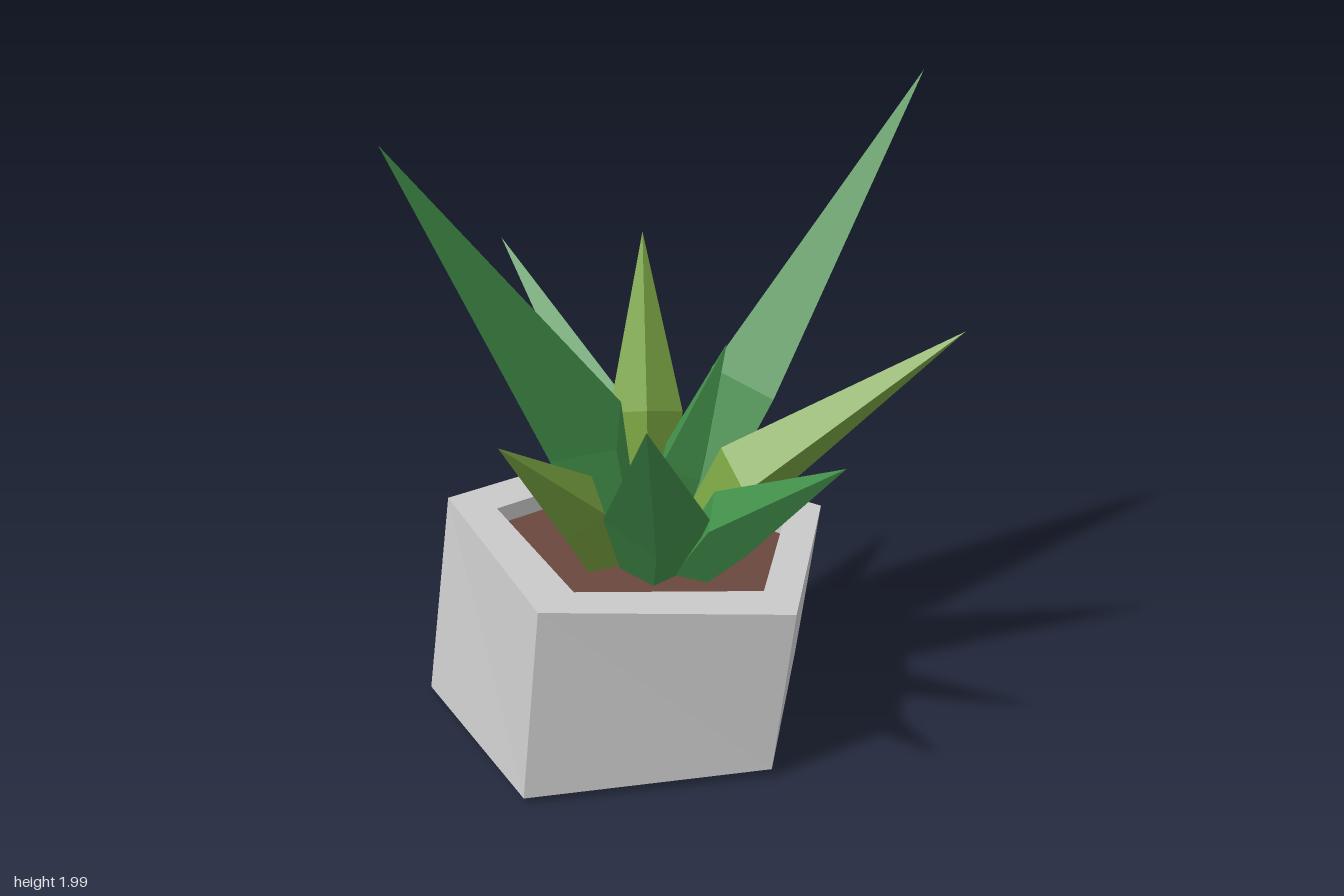
import * as THREE from 'three';

const V = (p) => new THREE.Vector3(...p);

// Skin a stack of rings (clockwise seen from the upper end), optionally closing the ends
function loft(rings, capStart, capEnd) {
  const pos = [];
  const tri = (a, b, c) => pos.push(...a.toArray(), ...b.toArray(), ...c.toArray());
  for (let k = 0; k < rings.length - 1; k++) {
    const lo = rings[k], hi = rings[k + 1], n = lo.length;
    for (let i = 0; i < n; i++) {
      const j = (i + 1) % n;
      tri(lo[i], hi[i], hi[j]);
      tri(lo[i], hi[j], lo[j]);
    }
  }
  const first = rings[0], last = rings[rings.length - 1];
  for (let i = 1; i < first.length - 1; i++) {
    if (capStart) tri(first[0], first[i], first[i + 1]);
    if (capEnd) tri(last[0], last[i + 1], last[i]);
  }
  const geo = new THREE.BufferGeometry();
  geo.setAttribute('position', new THREE.Float32BufferAttribute(pos, 3));
  geo.computeVertexNormals();
  return geo;
}

function part(name, geo, color, extra = {}) {
  const mesh = new THREE.Mesh(geo, new THREE.MeshStandardMaterial({ color, flatShading: true, ...extra }));
  mesh.name = name;
  return mesh;
}

// Diamond-section spike: narrow root, wide belly, pointed tip
function leafGeometry(root, belly, tip, width, thick) {
  const axis = V(tip).sub(V(root)).normalize();
  const side = new THREE.Vector3().crossVectors(axis, new THREE.Vector3(0, 1, 0)).normalize();
  const up = new THREE.Vector3().crossVectors(side, axis);
  const ring = (centre, s) => [0, 1, 2, 3].map((i) => {
    const a = (i * Math.PI) / 2;
    return V(centre)
      .addScaledVector(side, Math.cos(a) * width * s)
      .addScaledVector(up, Math.sin(a) * thick * s);
  });
  return loft([ring(root, 0.6), ring(belly, 1), ring(tip, 0.001)], true, false);
}

export function createModel() {
  const group = new THREE.Group();
  group.name = 'pottedPlant';

  // Five-sided pot, slightly tilted
  const foot = [[-0.61, 0, -0.11], [0.13, 0.02, -0.41], [0.61, 0.03, 0.18], [0.21, 0.02, 0.84], [-0.55, 0.005, 0.66]].map(V);
  const rim = [[-0.54, 0.66, -0.19], [0.18, 0.585, -0.465], [0.66, 0.575, 0.14], [0.24, 0.645, 0.785], [-0.505, 0.7, 0.58]].map(V);
  const rimPlane = (x, z) => 0.625 - 0.09 * x + 0.053 * z;
  const inner = [[-0.39, -0.1], [0.18, -0.29], [0.5, 0.12], [0.2, 0.62], [-0.36, 0.49]]
    .map(([x, z]) => new THREE.Vector3(x, rimPlane(x, z), z));
  const lowered = (d) => inner.map((p) => p.clone().add(new THREE.Vector3(-0.1 * d, -d, 0.08 * d)));
  group.add(part('pot', loft([foot, rim, inner, lowered(0.12)], true, false), 0xcccccc));

  // Soil sunk below the rim
  group.add(part('soil', loft([lowered(0.11), lowered(0.06)], true, true), 0x6b483e));

  // Leaves: root, belly, tip, half width, half thickness
  const green = 0x42904a, olive = 0x76a040;
  const leaves = [
    ['backLeaf', green, [-0.02, 0.55, 0.02], [0.01, 1.03, -0.25], [0.11, 1.99, -0.97], 0.17, 0.15],
    ['frontLeaf', green, [-0.07, 0.56, 0.22], [-0.09, 0.99, 0.33], [-0.16, 1.98, 0.97], 0.175, 0.15],
    ['rightLeaf', green, [-0.1, 0.56, 0.08], [-0.27, 0.87, 0.06], [-0.86, 1.41, 0.07], 0.1, 0.14],
    ['rightBackLeaf', olive, [-0.06, 0.56, 0.1], [-0.15, 0.96, 0.03], [-0.37, 1.49, -0.15], 0.12, 0.1],
    ['leftFrontLeaf', green, [0.12, 0.54, 0.24], [0.29, 0.83, 0.37], [0.83, 1.41, 0.87], 0.16, 0.12],
    ['leftLeaf', green, [0.17, 0.53, 0.16], [0.38, 0.78, 0.15], [0.86, 1.12, 0.165], 0.09, 0.11],
    ['leftBackLeaf', olive, [0.08, 0.54, 0.06], [0.22, 0.83, -0.07], [0.69, 1.32, -0.54], 0.15, 0.12],
    ['lowerFrontLeaf', olive, [0.0, 0.56, 0.34], [0.07, 0.83, 0.49], [0.21, 1.18, 0.88], 0.09, 0.11],
    ['innerLeaf', green, [0.08, 0.55, 0.2], [0.22, 0.95, 0.2], [0.43, 1.39, 0.22], 0.09, 0.09],
  ];
  const foliage = new THREE.Group();
  foliage.name = 'leaves';
  for (const [name, color, ...shape] of leaves) {
    foliage.add(part(name, leafGeometry(...shape), color));
  }
  group.add(foliage);
  return group;
}
